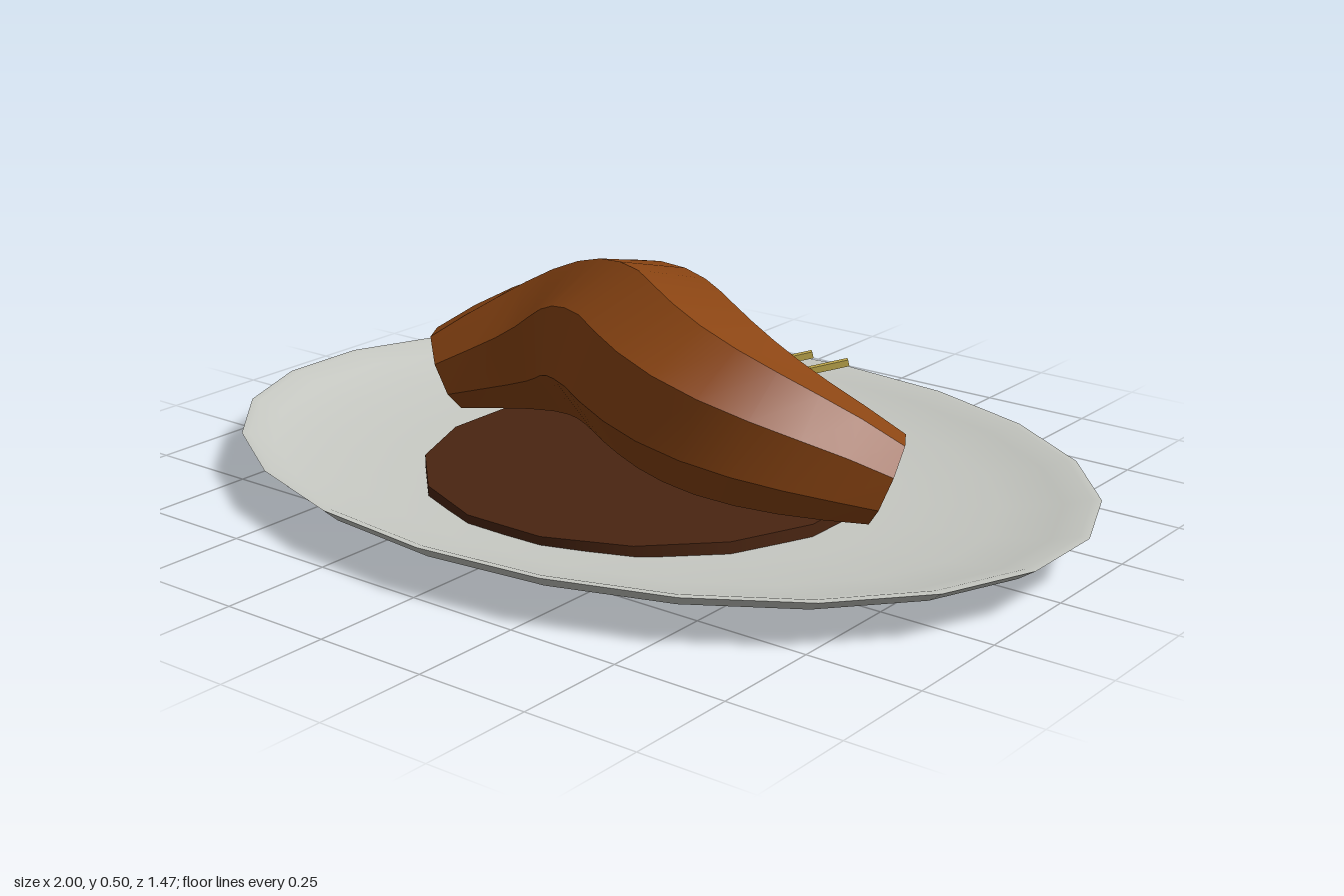
import * as THREE from 'three';
import { toCreasedNormals } from 'three/addons/utils/BufferGeometryUtils.js';

const mat = (name, color) => {
  const m = new THREE.MeshStandardMaterial({ color });
  m.name = name;
  return m;
};

// Tapered eight-sided sweep along an arched S-curve, closed at both ends
function filletGeometry() {
  const RINGS = 16, SIDES = 8, HALF = 0.595;
  const centre = (u) => new THREE.Vector3(
    u * HALF,
    0.16 + 0.135 * Math.cos(u * Math.PI / 2) ** 0.9,
    -0.005 + 0.115 * Math.sin(u * Math.PI)
  );
  const pos = [], index = [];
  const up = new THREE.Vector3(0, 1, 0);
  for (let i = 0; i <= RINGS; i++) {
    const u = THREE.MathUtils.clamp(i / RINGS * 2 - 1, -0.9999, 0.9999);
    const c = centre(u);
    const t = centre(Math.min(u + 0.04, 0.9999)).sub(centre(Math.max(u - 0.04, -0.9999))).normalize();
    const side = new THREE.Vector3().crossVectors(t, up).normalize();
    const n = new THREE.Vector3().crossVectors(side, t);
    const r = 0.098 + 0.107 * Math.cos(u * Math.PI / 2) ** 0.9;
    const roll = THREE.MathUtils.degToRad(10 + 12 * Math.abs(u));
    for (let j = 0; j < SIDES; j++) {
      const a = roll + j / SIDES * Math.PI * 2;
      const p = c.clone().addScaledVector(side, r * Math.sin(a)).addScaledVector(n, r * Math.cos(a));
      pos.push(p.x, p.y, p.z);
    }
  }
  for (let i = 0; i < RINGS; i++) {
    for (let j = 0; j < SIDES; j++) {
      const k = (j + 1) % SIDES;
      const a = i * SIDES + j, b = i * SIDES + k;
      index.push(a, b, a + SIDES, b, b + SIDES, a + SIDES);
    }
  }
  // End caps
  const last = RINGS * SIDES;
  for (let j = 1; j < SIDES - 1; j++) {
    index.push(0, j + 1, j, last, last + j, last + j + 1);
  }
  const g = new THREE.BufferGeometry();
  g.setAttribute('position', new THREE.Float32BufferAttribute(pos, 3));
  g.setIndex(index);
  return toCreasedNormals(g, 0.5);
}

export function createModel() {
  const group = new THREE.Group();
  const plateGrey = mat('plate grey', 0xc8cac4);
  const meatBrown = mat('glazed brown', 0x8b4513);
  const sauceBrown = mat('dark sauce brown', 0x4a2511);
  const gingerYellow = mat('garnish yellow', 0xc8b050);
  const add = (name, geometry, material) => {
    const mesh = new THREE.Mesh(geometry, material);
    mesh.name = name;
    group.add(mesh);
    return mesh;
  };
  const lathe = (points) => {
    const g = new THREE.LatheGeometry(points.map(([r, y]) => new THREE.Vector2(r, y)), 22);
    g.scale(1, 1, 0.73);
    return toCreasedNormals(g, 0.5);
  };

  // Oval plate with a shallow bowl and a thin foot
  add('plate', lathe([
    [0, 0.024], [0.61, 0.024], [0.8, 0.048], [0.97, 0.073], [1.01, 0.1],
    [0.99, 0.1], [0.93, 0.082], [0.8, 0.06], [0.6, 0.043], [0.3, 0.037], [0, 0.036]
  ]), plateGrey);
  add('plateFoot', lathe([
    [0, 0], [0.7, 0.004], [0.727, 0.016], [0.6, 0.026], [0, 0.026]
  ]), plateGrey);

  // Round pool of sauce
  const sauce = add('sauce', new THREE.CylinderGeometry(0.495, 0.495, 0.03, 16, 1, false, Math.PI / 16), sauceBrown);
  sauce.position.y = 0.053;

  add('fillet', filletGeometry(), meatBrown);

  // Thin garnish sticks poking out of the back
  const direction = new THREE.Vector3(0.09, 0.025, -0.08).normalize();
  for (const x of [0.165, 0.26, 0.35]) {
    const stick = add('garnishStick', new THREE.BoxGeometry(0.014, 0.014, 0.13), gingerYellow);
    stick.position.set(x, 0.318, -0.11);
    stick.lookAt(stick.position.clone().add(direction));
  }
  return group;
}
